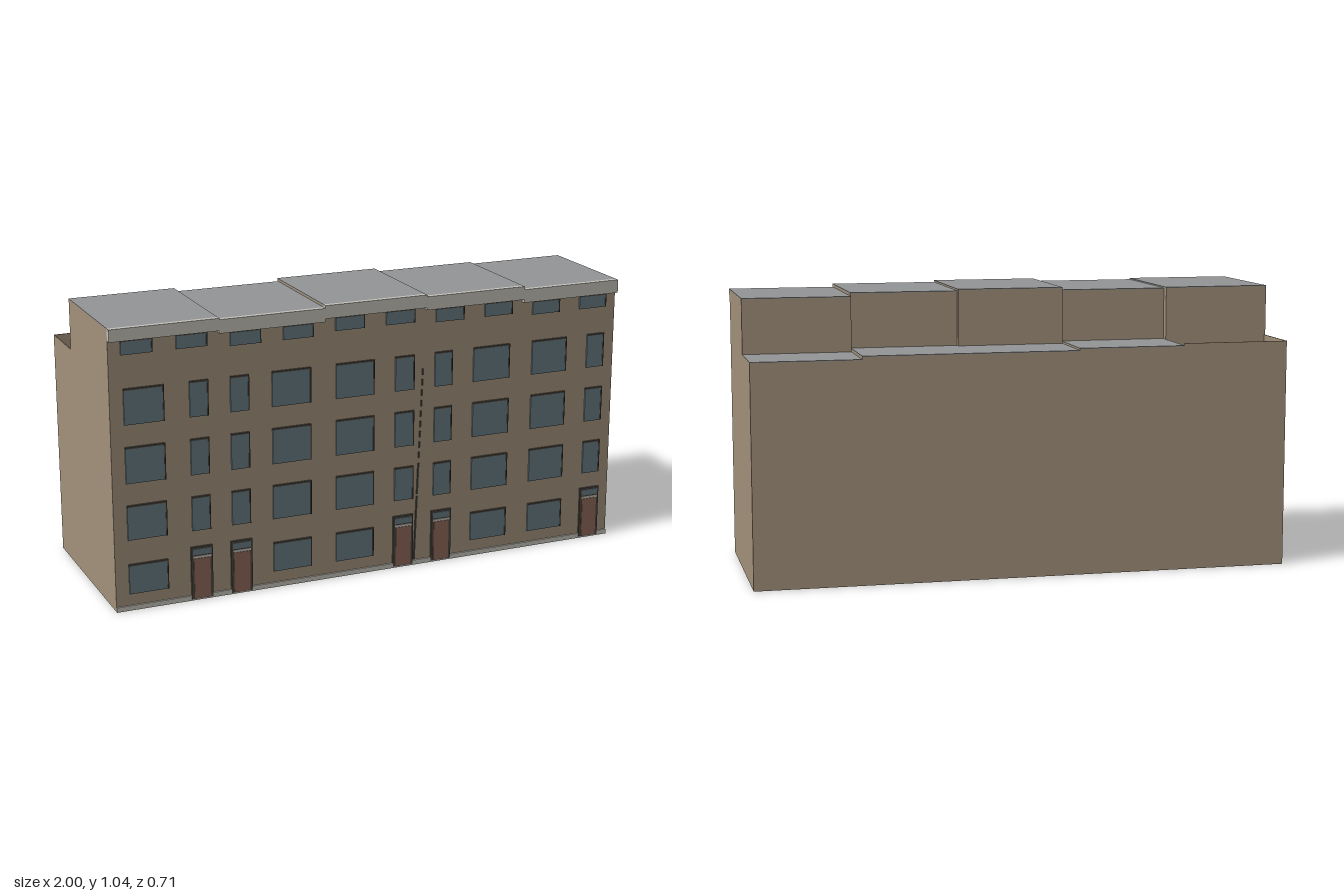
import * as THREE from 'three';

const mat = (name, color) => {
  const m = new THREE.MeshStandardMaterial({ color });
  m.name = name;
  return m;
};

export function createModel() {
  const root = new THREE.Group();
  root.name = 'rowBuilding';
  const wall = mat('tan wall', 0xa3927c);
  const roof = mat('grey roof', 0x949596);
  const trim = mat('pale stone', 0xc6c3bb);
  const glass = mat('blue grey glass', 0x667a82);
  const wood = mat('red brown door', 0x8e685b);
  const dark = mat('dark frame', 0x4b463e);

  const FRONT = 0.335, BACK = -0.355;

  // Box given by its minimum and maximum corners
  function box(parent, name, material, x0, x1, y0, y1, z0, z1) {
    const mesh = new THREE.Mesh(new THREE.BoxGeometry(x1 - x0, y1 - y0, z1 - z0), material);
    mesh.position.set((x0 + x1) / 2, (y0 + y1) / 2, (z0 + z1) / 2);
    mesh.name = name;
    parent.add(mesh);
    return mesh;
  }

  // Five bays: left edge, roof height, cornice bottom, step position, rear roof height
  const bays = [
    [-1.0, 1.04, 0.995, -0.128, 0.85],
    [-0.6, 1.035, 0.985, -0.098, 0.842],
    [-0.2, 1.045, 0.997, -0.106, 0.834],
    [0.2, 1.038, 0.988, -0.087, 0.834],
    [0.6, 1.026, 0.976, -0.106, 0.822],
  ];
  bays.forEach(([x, top, corniceY, step, low], i) => {
    const bay = new THREE.Group();
    bay.name = 'bay' + (i + 1);
    root.add(bay);
    const x1 = x + 0.4;
    if (i === 0) {
      // End bay: open yard behind the main block
      box(bay, 'mainBlock', wall, x, x1, 0, top - 0.003, step, FRONT);
      box(bay, 'yardBackWall', wall, x, x1, 0, low, BACK, BACK + 0.004);
      box(bay, 'yardEndWall', wall, x, x + 0.004, 0, low, BACK, step);
      box(bay, 'yardFloor', wall, x, x1, 0, 0.004, BACK, step);
    } else {
      // Stepped side profile drawn in z and y, extruded along x
      const s = new THREE.Shape([
        [BACK, 0], [FRONT, 0], [FRONT, top - 0.003], [step, top - 0.003],
        [step, low - 0.003], [BACK, low - 0.003],
      ].map(p => new THREE.Vector2(...p)));
      const geo = new THREE.ExtrudeGeometry(s, { depth: 0.4, bevelEnabled: false });
      geo.rotateY(-Math.PI / 2).translate(x1, 0, 0);
      const body = new THREE.Mesh(geo, wall);
      body.name = 'steppedBlock';
      bay.add(body);
      box(bay, 'rearRoof', roof, x, x1, low - 0.003, low, BACK, step);
    }
    box(bay, 'mainRoof', roof, x, x1, top - 0.003, top, step, FRONT);
    box(bay, 'cornice', trim, x, x1, corniceY, top, FRONT, 0.355);
    box(bay, 'plinth', trim, x, x1, 0, 0.018, FRONT, 0.341);
  });

  // Pane with a dark strip along its head and right side
  const windows = new THREE.Group();
  windows.name = 'windows';
  root.add(windows);
  function pane(x0, x1, y0, y1) {
    box(windows, 'windowGlass', glass, x0, x1, y0, y1, FRONT, 0.341);
    box(windows, 'windowHead', dark, x0, x1 + 0.004, y1, y1 + 0.006, FRONT, 0.343);
    box(windows, 'windowJamb', dark, x1, x1 + 0.004, y0, y1, FRONT, 0.343);
  }

  const wide = [[-0.95, -0.808], [-0.40, -0.255], [-0.152, -0.006], [0.402, 0.548], [0.648, 0.79]];
  const narrow = [[-0.71, -0.645], [-0.558, -0.492], [0.083, 0.155], [0.243, 0.31], [0.884, 0.952]];
  const storeys = [[0.265, 0.388], [0.475, 0.603], [0.69, 0.815]];
  for (const [x0, x1] of wide) pane(x0, x1, 0.062, 0.168);
  for (const [y0, y1] of storeys) {
    for (const [x0, x1] of [...wide, ...narrow]) pane(x0, x1, y0, y1);
  }
  // Small attic windows below the cornice
  for (let i = 0; i < 10; i++) {
    const c = -0.9 + i * 0.2;
    const head = bays[Math.floor(i / 2)][2];
    pane(c - 0.055, c + 0.055, head - 0.053, head - 0.006);
  }

  // Entrances with transom lights
  for (const [a, b] of narrow) {
    const door = new THREE.Group();
    door.name = 'entrance';
    root.add(door);
    const c = (a + b) / 2;
    box(door, 'doorFrame', dark, c - 0.041, c + 0.041, 0.005, 0.204, FRONT, 0.342);
    box(door, 'doorLeaf', wood, c - 0.031, c + 0.031, 0.008, 0.16, FRONT, 0.344);
    box(door, 'doorLintel', trim, c - 0.034, c + 0.034, 0.161, 0.169, FRONT, 0.344);
    box(door, 'transom', glass, c - 0.035, c + 0.035, 0.174, 0.196, FRONT, 0.344);
  }

  // Slanting drainpipe, broken into short lengths further up
  const pipe = new THREE.Group();
  pipe.name = 'drainpipe';
  root.add(pipe);
  const pipeX = y => 0.167 + (y - 0.02) * 0.038;
  const lengths = [[0.02, 0.27], [0.28, 0.4]];
  for (let y = 0.42; y < 0.77; y += 0.04) lengths.push([y, y + 0.024]);
  for (const [y0, y1] of lengths) {
    const x = pipeX((y0 + y1) / 2);
    const p = box(pipe, 'pipeLength', dark, x - 0.003, x + 0.003, y0, y1, FRONT, 0.339);
    p.rotation.z = -Math.atan(0.038);
  }
  return root;
}
